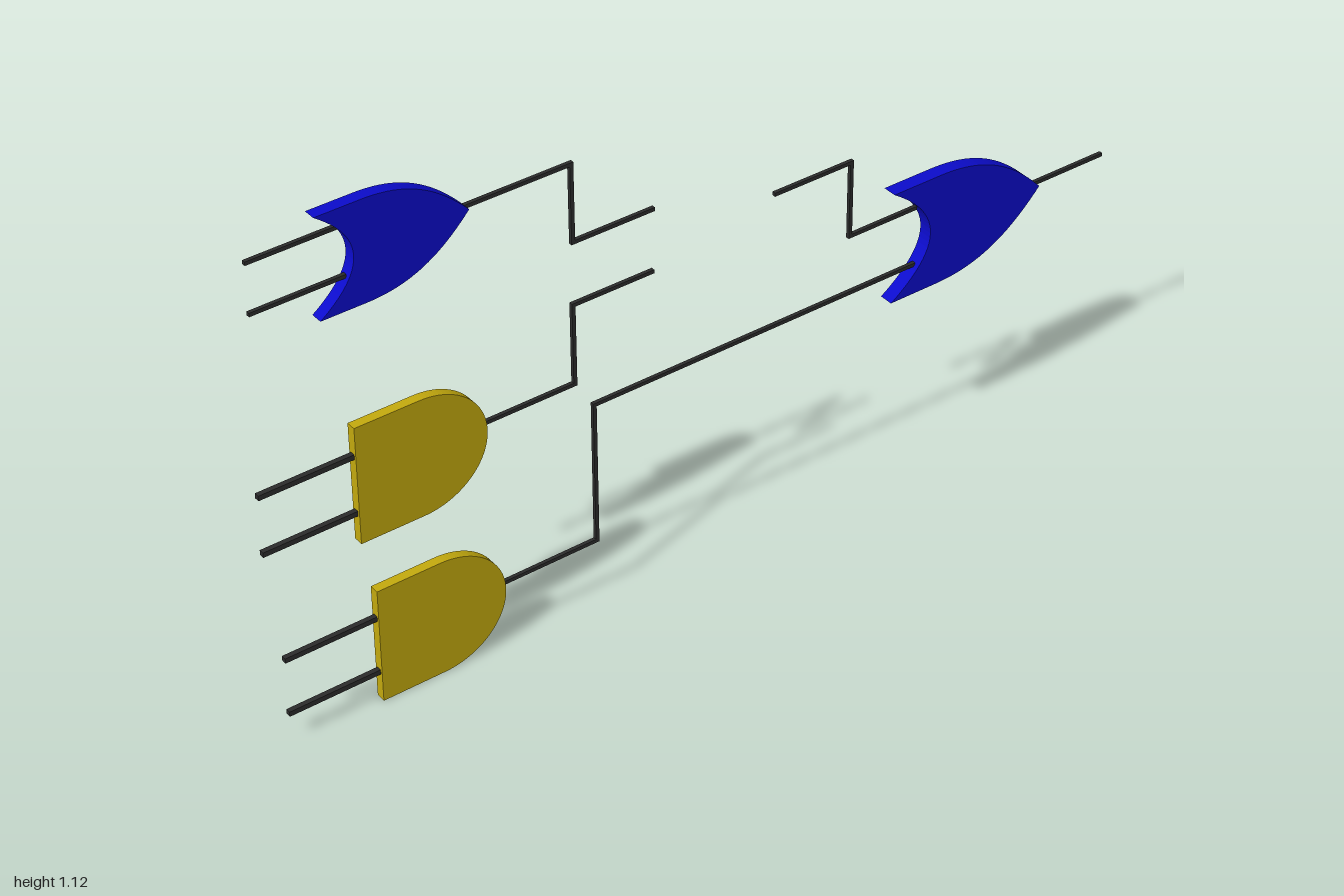
import * as THREE from 'three';

const material = (color) => new THREE.MeshStandardMaterial({ color });

// Profiles are drawn with u running backwards (u = -z) and v upwards.
function orShape(back, tip, bottom, top, notch) {
  const mid = (bottom + top) / 2, len = tip - back;
  const s = new THREE.Shape();
  s.moveTo(back, bottom);
  s.lineTo(back + len * 0.3, bottom);
  s.bezierCurveTo(back + len * 0.6, bottom, back + len * 0.8, bottom + (mid - bottom) * 0.35, tip, mid);
  s.bezierCurveTo(back + len * 0.8, top - (top - mid) * 0.35, back + len * 0.6, top, back + len * 0.3, top);
  s.lineTo(back, top);
  // concave input side
  s.quadraticCurveTo(back + notch * 2, mid, back, bottom);
  return s;
}

function andShape(back, tip, bottom, top) {
  const mid = (bottom + top) / 2, r = 0.145;
  const s = new THREE.Shape();
  s.moveTo(back, bottom);
  s.lineTo(tip - r, bottom);
  s.absellipse(tip - r, mid, r, (top - bottom) / 2, -Math.PI / 2, Math.PI / 2, false);
  s.lineTo(back, top);
  s.closePath();
  return s;
}

// Flat plate centred on x = 0
function plate(name, shape, thickness, mat) {
  const geo = new THREE.ExtrudeGeometry(shape, { depth: thickness, bevelEnabled: false, curveSegments: 24 });
  geo.translate(0, 0, -thickness / 2);
  geo.rotateY(Math.PI / 2);
  const mesh = new THREE.Mesh(geo, mat);
  mesh.name = name;
  return mesh;
}

// Square wire through axis-aligned [u, v] points
function wire(name, points, size, mat, x = 0) {
  const group = new THREE.Group();
  group.name = name;
  for (let i = 1; i < points.length; i++) {
    const [u0, v0] = points[i - 1], [u1, v1] = points[i];
    const du = Math.abs(u1 - u0), dv = Math.abs(v1 - v0);
    // overlap at bends so that corners are filled, open ends stay exact
    const a = i > 1 ? size / 2 : 0, b = i < points.length - 1 ? size / 2 : 0;
    const sign = Math.sign(u1 - u0 + v1 - v0), shift = sign * (b - a) / 2;
    const along = du > dv;
    const geo = new THREE.BoxGeometry(size, along ? size : dv + a + b, along ? du + a + b : size);
    const mesh = new THREE.Mesh(geo, mat);
    mesh.name = 'wireSegment';
    mesh.position.set(x, (v0 + v1) / 2 + (along ? 0 : shift), -((u0 + u1) / 2 + (along ? shift : 0)));
    group.add(mesh);
  }
  return group;
}

export function createModel() {
  const model = new THREE.Group();
  model.name = 'logicCircuit';
  const blue = material(0x0c0ccc), gold = material(0xc4aa0e), dark = material(0x2c2c2c);

  // Gate bodies
  model.add(
    plate('upperOrGate', orShape(-0.853, -0.537, 0.907, 1.123, 0.075), 0.026, blue),
    plate('outputOrGate', orShape(0.441, 0.821, 0.404, 0.66, 0.096), 0.031, blue),
    plate('middleAndGate', andShape(-0.799, -0.516, 0.388, 0.65), 0.021, gold),
    plate('lowerAndGate', andShape(-0.773, -0.489, 0, 0.263), 0.021, gold),
  );

  // Paired input wires: [name, start, end, heights, thickness]
  const inputs = [
    ['upperOrInput', -0.987, -0.79, [1.078, 0.972], 0.008],
    ['middleAndInput', -1, -0.795, [0.583, 0.455], 0.011],
    ['lowerAndInput', -0.973, -0.769, [0.195, 0.067], 0.011],
  ];
  for (const [name, start, end, heights, size] of inputs)
    for (const v of heights) model.add(wire(name, [[start, v], [end, v]], size, dark));

  // Output and connecting wires
  model.add(
    wire('upperOrOutput', [[-0.545, 1.016], [-0.31, 1.016], [-0.31, 0.847], [-0.126, 0.847]], 0.008, dark),
    wire('middleAndOutput', [[-0.52, 0.527], [-0.31, 0.527], [-0.31, 0.706], [-0.126, 0.706]], 0.008, dark, -0.004),
    wire('lowerAndOutput', [[-0.493, 0.14], [-0.27, 0.14], [-0.27, 0.463], [0.51, 0.463]], 0.008, dark),
    wire('outputOrInput', [[0.155, 0.767], [0.342, 0.767], [0.342, 0.597], [0.51, 0.597]], 0.008, dark),
    wire('finalOutput', [[0.81, 0.532], [1, 0.532]], 0.008, dark),
  );
  return model;
}
